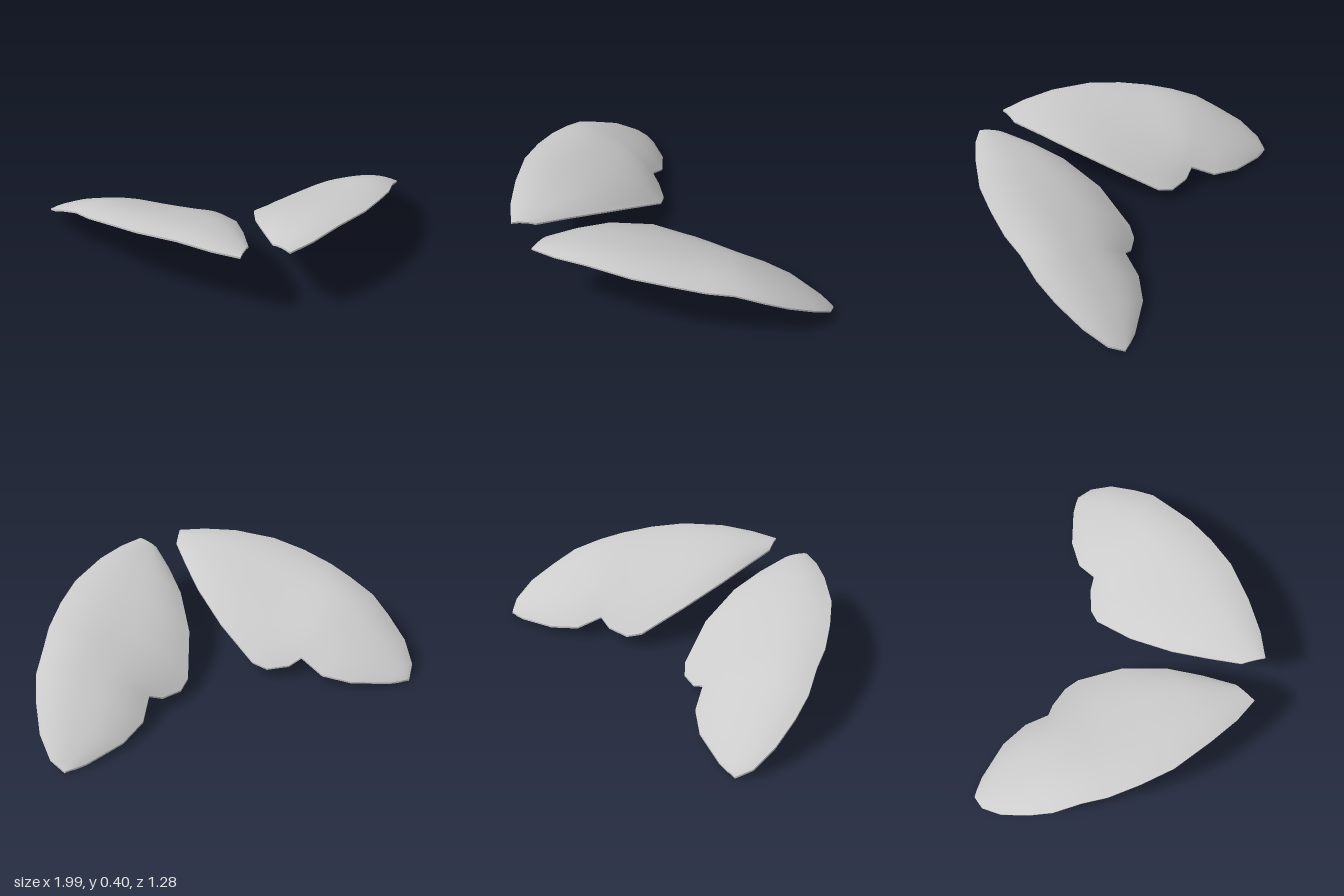
import * as THREE from 'three';

// Stations from root to tip: inner edge (x, y, z), outer edge (x, y, z), dome height
const STATIONS = [
  [0.06, 0.345, 0.53, 0.12, 0.355, 0.64, 0.008],
  [0.05, 0.32, 0.35, 0.25, 0.37, 0.58, 0.03],
  [0.05, 0.28, 0.16, 0.40, 0.385, 0.48, 0.045],
  [0.09, 0.20, -0.08, 0.58, 0.375, 0.34, 0.06],
  [0.18, 0.085, -0.30, 0.70, 0.355, 0.20, 0.08],
  [0.24, 0.065, -0.355, 0.80, 0.325, 0.06, 0.085],
  [0.35, 0.08, -0.39, 0.86, 0.30, -0.06, 0.08],
  [0.42, 0.115, -0.39, 0.935, 0.25, -0.19, 0.065],
  [0.49, 0.06, -0.50, 0.97, 0.19, -0.31, 0.065],
  [0.62, 0.04, -0.585, 0.995, 0.12, -0.46, 0.04],
  [0.82, 0.02, -0.64, 0.98, 0.05, -0.58, 0.015],
  [0.88, 0.015, -0.645, 0.93, 0.01, -0.645, 0.003],
];
const ACROSS = 16;
const THICKNESS = 0.01;

// Skins rows of points into a smooth sheet; flip reverses the facing
function sheet(rows, flip) {
  const width = rows[0].length;
  const index = [];
  for (let r = 0; r < rows.length - 1; r++) {
    for (let c = 0; c < width - 1; c++) {
      const a = r * width + c, b = a + 1, d = a + width, e = d + 1;
      if (flip) index.push(a, d, b, b, d, e);
      else index.push(a, b, d, b, e, d);
    }
  }
  const geometry = new THREE.BufferGeometry().setFromPoints(rows.flat());
  geometry.setIndex(index);
  geometry.computeVertexNormals();
  return geometry;
}

// Domed cross-section of the wing at one station
function section([ix, iy, iz, ox, oy, oz, dome], side) {
  const inner = new THREE.Vector3(ix * side, iy, iz);
  const outer = new THREE.Vector3(ox * side, oy, oz);
  return Array.from({ length: ACROSS + 1 }, (_, i) => {
    const u = i / ACROSS;
    const p = inner.clone().lerp(outer, u);
    p.y += dome * (1 - Math.abs(2 * u - 1) ** 2.5);
    return p;
  });
}

function createWing(side, material) {
  const wing = new THREE.Group();
  wing.name = side > 0 ? 'leftWing' : 'rightWing';
  const lower = (row) => row.map((p) => p.clone().setY(p.y - THICKNESS));
  const rows = STATIONS.map((s) => section(s, side));
  const mirrored = side < 0;

  // Boundary loop: inner edge, tip, outer edge, root
  const loop = [
    ...rows.map((r) => r[0]),
    ...rows[rows.length - 1].slice(1),
    ...rows.slice(0, -1).reverse().map((r) => r[ACROSS]),
    ...rows[0].slice(0, -1).reverse(),
  ];

  const parts = {
    upperSkin: sheet(rows, mirrored),
    underSkin: sheet(rows.map(lower), !mirrored),
    rim: sheet([loop, lower(loop)], mirrored),
  };
  for (const [name, geometry] of Object.entries(parts)) {
    const mesh = new THREE.Mesh(geometry, material);
    mesh.name = name;
    wing.add(mesh);
  }
  return wing;
}

export function createModel() {
  const model = new THREE.Group();
  model.name = 'wingPair';
  const material = new THREE.MeshStandardMaterial({ color: 0xcccccc });
  for (const side of [1, -1]) model.add(createWing(side, material));
  return model;
}
